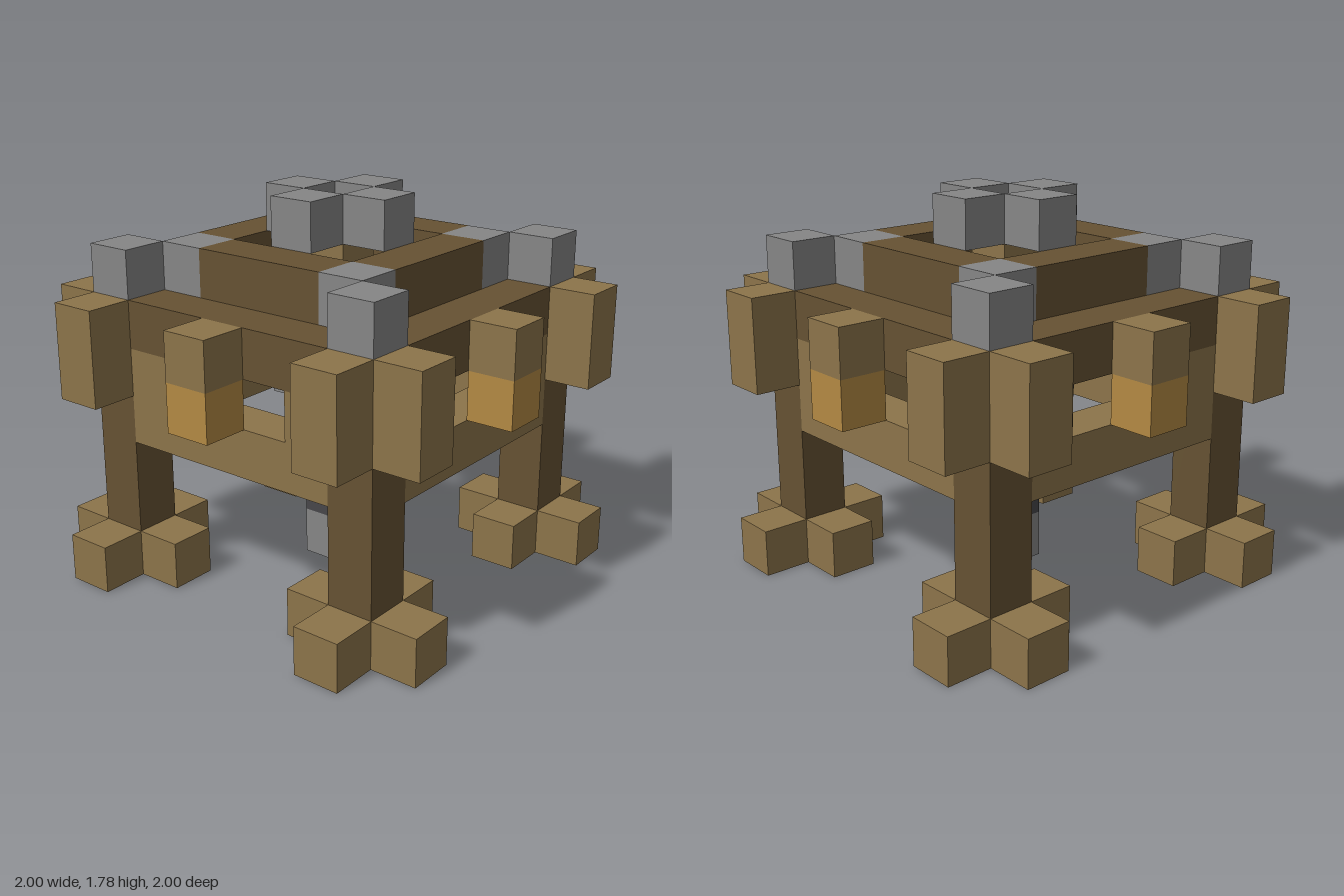
import * as THREE from 'three';

const U = 2 / 9; // edge of one building block

export function createModel() {
  const model = new THREE.Group();
  model.name = 'blockTower';

  const material = (name, color) => {
    const m = new THREE.MeshStandardMaterial({ color });
    m.name = name;
    return m;
  };
  const lightWood = material('lightWood', 0x8c744a);
  const darkWood = material('darkWood', 0x665233);
  const stone = material('stone', 0x868686);
  const iron = material('iron', 0x47464a);
  const amber = material('amber', 0xb38943);

  // Box centred on block column (x, z), from block layer y upwards, sized in blocks
  const block = (parent, name, mat, x, y, z, w = 1, h = 1, d = 1) => {
    const mesh = new THREE.Mesh(new THREE.BoxGeometry(w * U, h * U, d * U), mat);
    mesh.name = name;
    mesh.position.set(x * U, (y + h / 2) * U, z * U);
    parent.add(mesh);
  };

  // Four corner legs with cross-shaped feet, brackets and stone caps
  for (const sx of [-1, 1]) {
    for (const sz of [-1, 1]) {
      const leg = new THREE.Group();
      leg.name = 'cornerLeg';
      const x = 3 * sx, z = 3 * sz;
      block(leg, 'footCore', stone, x, 0, z);
      for (const [dx, dz] of [[1, 0], [-1, 0], [0, 1], [0, -1]]) {
        block(leg, 'footArm', lightWood, x + dx, 0, z + dz);
      }
      block(leg, 'post', darkWood, x, 1, z, 1, 5, 1);
      block(leg, 'sideBracket', lightWood, x + sx, 4, z, 1, 2, 1);
      block(leg, 'endBracket', lightWood, x, 4, z + sz, 1, 2, 1);
      block(leg, 'postCap', stone, x, 6, z);
      block(leg, 'roofCorner', stone, 2 * sx, 6, 2 * sz);
      model.add(leg);
    }
  }

  // Four identical walls, each with a window, a lantern and roof beams
  for (let i = 0; i < 4; i++) {
    const wall = new THREE.Group();
    wall.name = 'wall';
    block(wall, 'floorBeam', lightWood, 0, 3, 3, 5, 1, 1);
    for (const s of [-1, 1]) block(wall, 'windowJamb', lightWood, 2 * s, 4, 3);
    block(wall, 'lintel', darkWood, 0, 5, 3, 5, 1, 1);
    block(wall, 'roofBeam', darkWood, 0, 6, 2, 3, 1, 1);
    block(wall, 'lantern', amber, 0, 4, 4);
    block(wall, 'lanternHood', lightWood, 0, 5, 4);
    // Stones around the central shaft
    block(wall, 'collarStone', stone, 0, 4, 1);
    block(wall, 'crownStone', stone, 0, 7, 1);
    wall.rotation.y = i * Math.PI / 2;
    model.add(wall);
  }

  // Central hanging shaft
  const shaft = new THREE.Group();
  shaft.name = 'centralShaft';
  block(shaft, 'shaftTip', stone, 0, 0, 0);
  block(shaft, 'shaftRod', iron, 0, 1, 0, 1, 4, 1);
  block(shaft, 'shaftHead', lightWood, 0, 5, 0, 1, 2, 1);
  model.add(shaft);

  return model;
}
